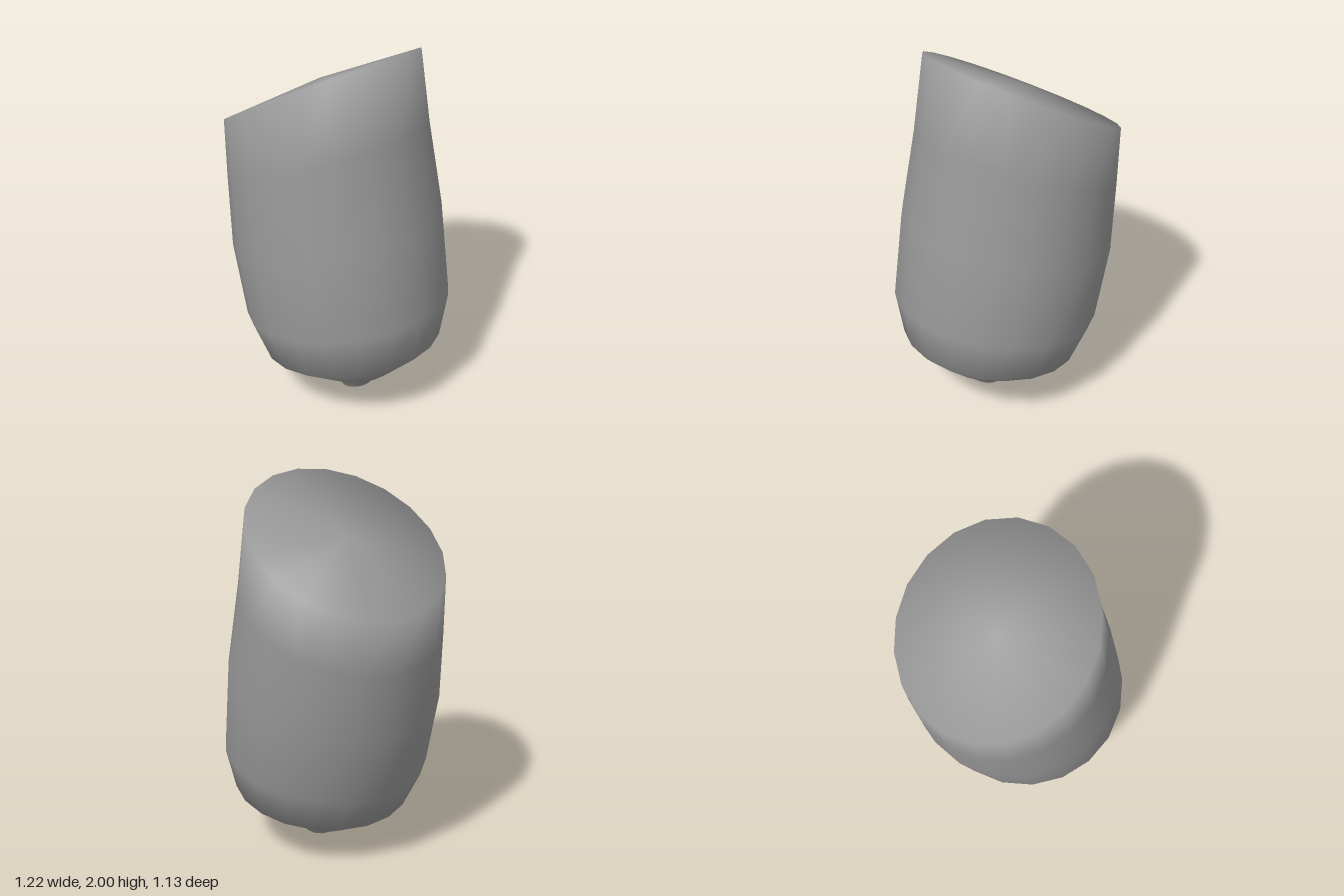
import * as THREE from 'three';
import { mergeVertices } from 'three/addons/utils/BufferGeometryUtils.js';

const SIDES = 20;

// Slanted elliptical rings: [low-x, its y, high-x, its y, half depth in z]
const RINGS = [
  [0.14, 0, 0.14, 0, 0],           // stub end centre
  [0.065, 0.005, 0.23, 0.03, 0.085],
  [0.05, 0.08, 0.23, 0.105, 0.09],
  [-0.08, 0.085, 0.36, 0.155, 0.2], // rounded base
  [-0.35, 0.23, 0.58, 0.38, 0.48],
  [-0.46, 0.43, 0.61, 0.63, 0.55],
  [-0.55, 0.8, 0.53, 1.1, 0.565],  // leaning wall
  [-0.59, 1.15, 0.43, 1.58, 0.535],
  [-0.61, 1.43, 0.36, 2, 0.515],   // slanted rim
  [-0.145, 1.74, -0.145, 1.74, 0], // slightly raised top
];

function loft(rings) {
  const positions = [];
  const index = [];
  for (const [x0, y0, x1, y1, depth] of rings) {
    for (let j = 0; j < SIDES; j++) {
      const a = (j / SIDES) * Math.PI * 2;
      const t = (1 + Math.cos(a)) / 2;
      positions.push(x0 + (x1 - x0) * t, y0 + (y1 - y0) * t, depth * Math.sin(a));
    }
  }
  const last = rings.length - 2;
  for (let i = 0; i <= last; i++) {
    for (let j = 0; j < SIDES; j++) {
      const k = (j + 1) % SIDES;
      const a = i * SIDES + j, b = i * SIDES + k;
      const c = a + SIDES, d = b + SIDES;
      // end rings are single points, so they take one triangle per side
      if (i > 0) index.push(a, c, b);
      if (i < last) index.push(b, c, d);
    }
  }
  const geometry = new THREE.BufferGeometry();
  geometry.setAttribute('position', new THREE.Float32BufferAttribute(positions, 3));
  geometry.setIndex(index);
  const merged = mergeVertices(geometry);
  merged.computeVertexNormals();
  return merged;
}

export function createModel() {
  const group = new THREE.Group();
  group.name = 'slantedPod';
  // Pod body with its stub, one continuous smooth skin
  const body = new THREE.Mesh(loft(RINGS), new THREE.MeshStandardMaterial({ color: 0x979797 }));
  body.name = 'podBody';
  group.add(body);
  return group;
}
